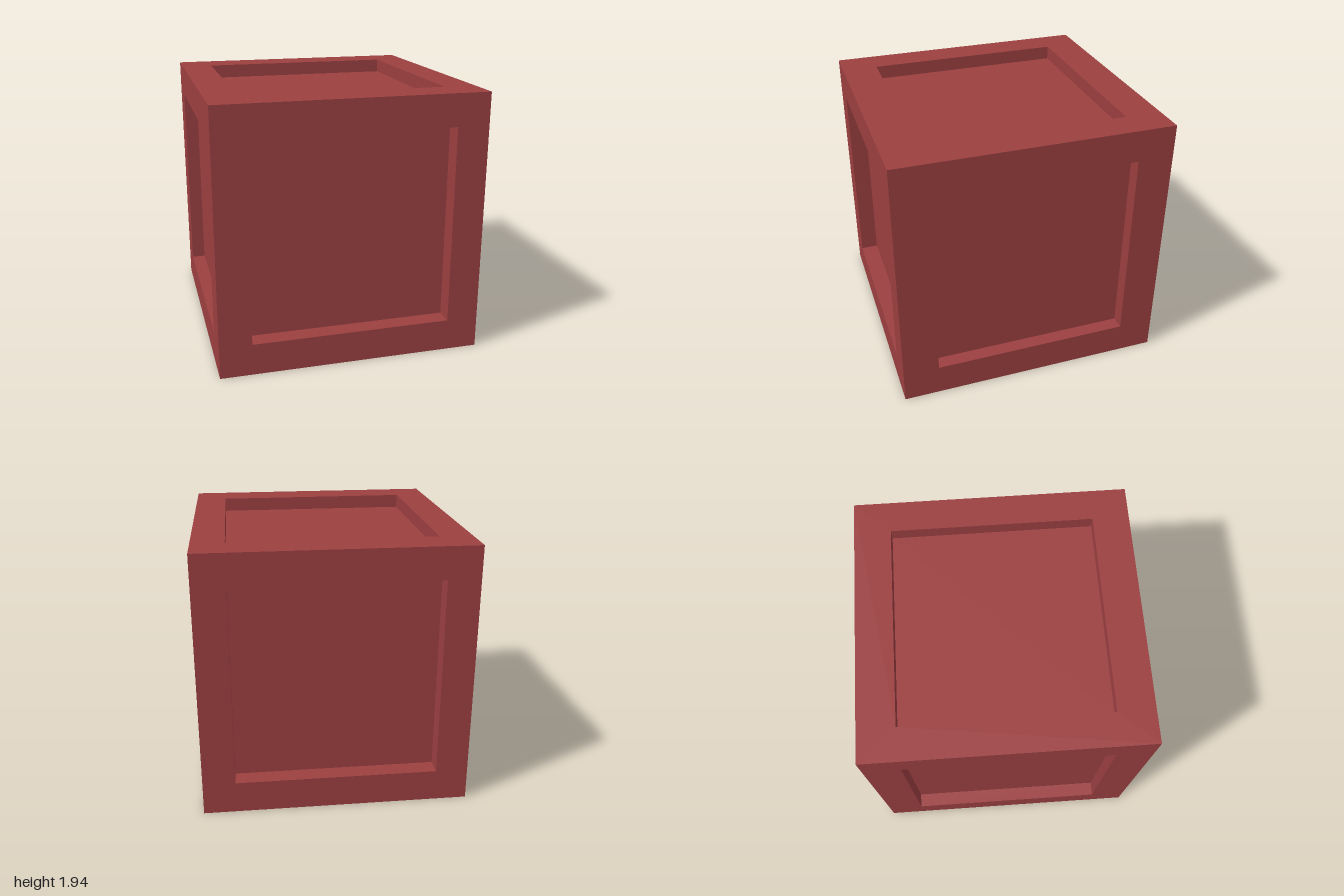
import * as THREE from 'three';
import { mergeGeometries } from 'three/addons/utils/BufferGeometryUtils.js';

const HALF = { x: 0.97, y: 0.97, z: 1 };
const OPENING = 0.735; // half width of each square recess
const FLOOR = 0.867;   // distance of every recess floor from the centre

// Square border around the recess, lying in the plane z = 0
function borderGeometry(halfW, halfH) {
  const shape = new THREE.Shape([
    new THREE.Vector2(-halfW, -halfH), new THREE.Vector2(halfW, -halfH),
    new THREE.Vector2(halfW, halfH), new THREE.Vector2(-halfW, halfH),
  ]);
  const o = OPENING;
  shape.holes.push(new THREE.Path([
    new THREE.Vector2(-o, -o), new THREE.Vector2(-o, o),
    new THREE.Vector2(o, o), new THREE.Vector2(o, -o),
  ]));
  return new THREE.ShapeGeometry(shape);
}

// One crate side facing +z: border, four recess walls and the sunken panel
function createSide(name, halfW, halfH, distance, material) {
  const depth = distance - FLOOR;
  const parts = [borderGeometry(halfW, halfH).translate(0, 0, distance)];
  for (let i = 0; i < 4; i++) {
    parts.push(new THREE.PlaneGeometry(2 * OPENING, depth)
      .rotateX(-Math.PI / 2)
      .translate(0, -OPENING, FLOOR + depth / 2)
      .rotateZ(i * Math.PI / 2));
  }
  const frame = new THREE.Mesh(mergeGeometries(parts), material);
  frame.name = name + 'Frame';

  const panel = new THREE.Mesh(
    new THREE.PlaneGeometry(2 * OPENING, 2 * OPENING).translate(0, 0, FLOOR), material);
  panel.name = name + 'Panel';

  const side = new THREE.Group();
  side.name = name + 'Side';
  side.add(frame, panel);
  return side;
}

export function createModel() {
  const crate = new THREE.Group();
  crate.name = 'crate';
  const material = new THREE.MeshStandardMaterial({ color: 0x9b3f40 });
  const { x, y, z } = HALF;
  const q = Math.PI / 2;

  // name, half width, half height, distance from centre, turn about x, turn about y
  const sides = [
    ['front', x, y, z, 0, 0],
    ['back', x, y, z, 0, 2 * q],
    ['left', z, y, x, 0, q],
    ['right', z, y, x, 0, -q],
    ['top', x, z, y, -q, 0],
    ['bottom', x, z, y, q, 0],
  ];
  for (const [name, halfW, halfH, distance, turnX, turnY] of sides) {
    const side = createSide(name, halfW, halfH, distance, material);
    side.rotation.set(turnX, turnY, 0);
    side.position.y = y;
    crate.add(side);
  }
  return crate;
}
